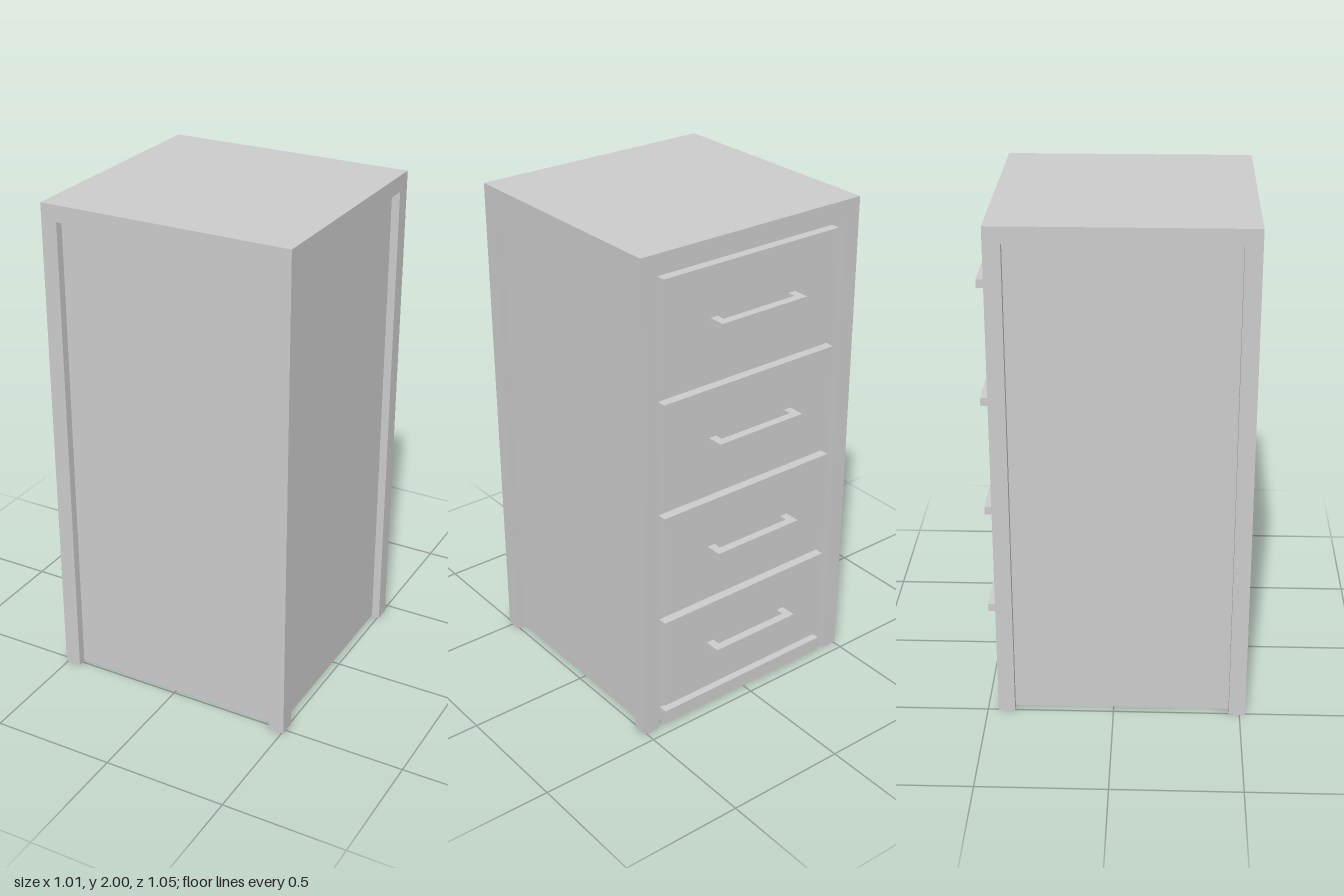
import * as THREE from 'three';

const W = 1.014, H = 2, Z0 = -0.457, Z1 = 0.523; // frame outline
const POST = 0.065, INSET = 0.033;

const material = new THREE.MeshStandardMaterial({ color: 0xcccccc, flatShading: true });

// Box given by its limits on each axis
function block(parent, name, [x0, x1], [y0, y1], [z0, z1]) {
  const mesh = new THREE.Mesh(new THREE.BoxGeometry(x1 - x0, y1 - y0, z1 - z0), material);
  mesh.position.set((x0 + x1) / 2, (y0 + y1) / 2, (z0 + z1) / 2);
  mesh.name = name;
  parent.add(mesh);
}

// U-shaped pull: a bar on two legs, extruded upwards
function handleGeometry() {
  const half = 0.2, depth = 0.066, t = 0.033;
  const shape = new THREE.Shape([
    [-half, 0], [-half + t, 0], [-half + t, depth - t], [half - t, depth - t],
    [half - t, 0], [half, 0], [half, depth], [-half, depth],
  ].map(([x, y]) => new THREE.Vector2(x, y)));
  const geometry = new THREE.ExtrudeGeometry(shape, { depth: t, bevelEnabled: false });
  geometry.translate(0, 0, -t / 2);
  geometry.rotateX(-Math.PI / 2); // shape y becomes -z
  return geometry;
}

export function createModel() {
  const cabinet = new THREE.Group();
  cabinet.name = 'drawerCabinet';
  const hw = W / 2;

  // Frame: top slab and four corner posts
  block(cabinet, 'top', [-hw, hw], [H - POST, H], [Z0, Z1]);
  for (const x of [-hw, hw - POST]) {
    for (const z of [Z0, Z1 - POST]) {
      block(cabinet, 'cornerPost', [x, x + POST], [0, H - POST], [z, z + POST]);
    }
  }

  // Body with its panels set back from the frame
  const back = Z0 + 0.037;
  block(cabinet, 'body', [-hw + INSET, hw - INSET], [0.005, H - POST], [back, Z1 - INSET]);

  // Drawers on the -z side: centre height and panel height
  const dw = hw - POST - 0.035;
  const pull = handleGeometry();
  for (const [y, h] of [[1.685, 0.43], [1.205, 0.43], [0.735, 0.43], [0.29, 0.39]]) {
    const drawer = new THREE.Group();
    drawer.name = 'drawer';
    block(drawer, 'drawerFront', [-dw, dw], [y - h / 2, y + h / 2], [Z0, back + 0.01]);
    const handle = new THREE.Mesh(pull, material);
    handle.name = 'handle';
    handle.position.set(0, y, Z0);
    drawer.add(handle);
    cabinet.add(drawer);
  }

  // Plinth strip below the lowest drawer
  block(cabinet, 'plinth', [-dw, dw], [0.005, 0.065], [Z0, back + 0.01]);

  return cabinet;
}
